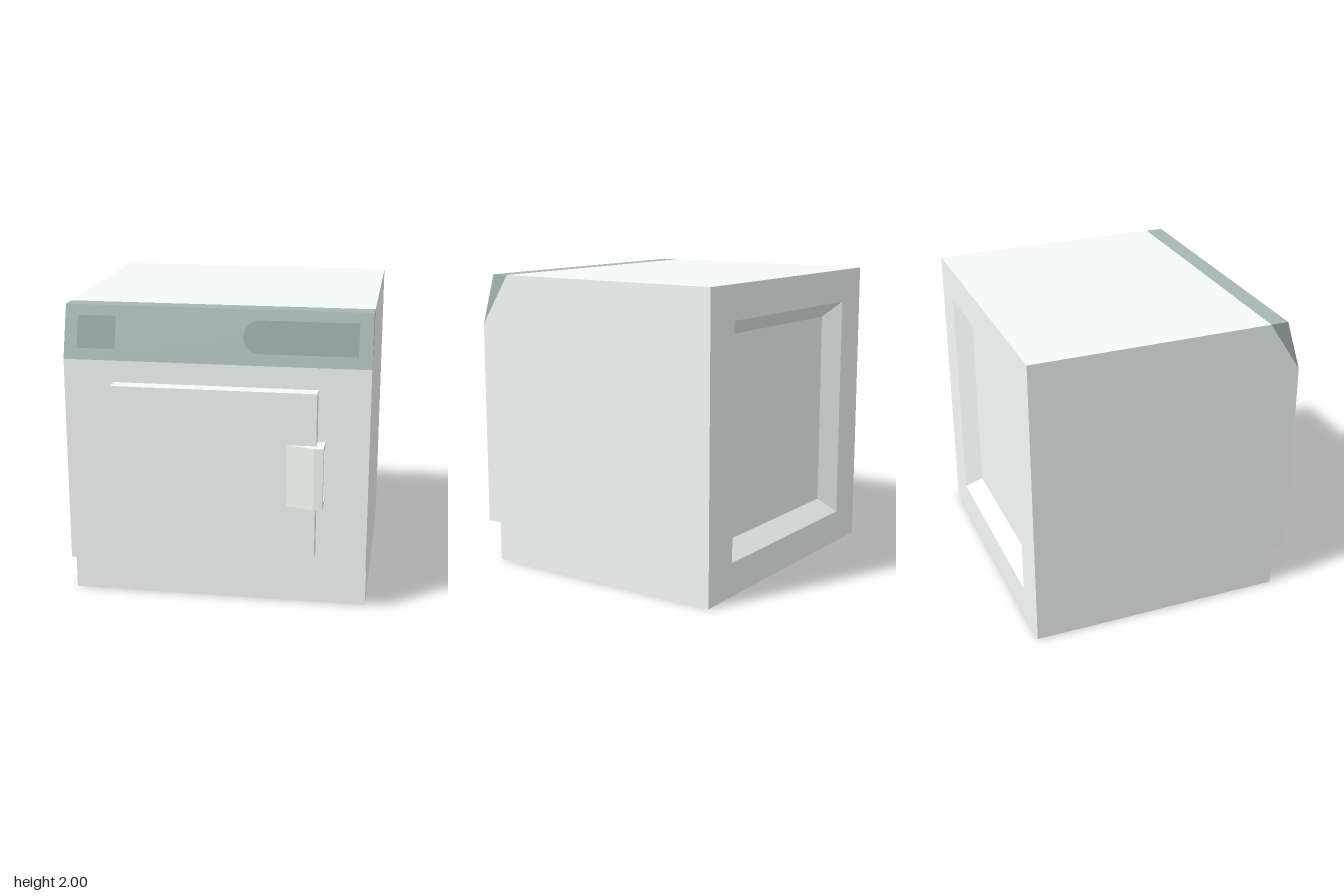
import * as THREE from 'three';

const material = (color) => new THREE.MeshStandardMaterial({ color, flatShading: true });
const cabinetColor = material(0xf5f9f7);
const handleColor = material(0xf7fbf3);
const panelColor = material(0xa7b6b6);
const markColor = material(0x93a4a4);

function addMesh(parent, name, geometry, mat) {
  const mesh = new THREE.Mesh(geometry, mat);
  mesh.name = name;
  parent.add(mesh);
  return mesh;
}

// Box given by its limits on each axis
function boxBetween(x0, x1, y0, y1, z0, z1) {
  return new THREE.BoxGeometry(x1 - x0, y1 - y0, z1 - z0)
    .translate((x0 + x1) / 2, (y0 + y1) / 2, (z0 + z1) / 2);
}

const shapeFrom = (points) => new THREE.Shape(points.map(([x, y]) => new THREE.Vector2(x, y)));

// Cabinet shell: side profile swept across x, with a tapered recess in the back
function cabinetGeometry() {
  const pos = [];
  const tri = (a, b, c) => pos.push(...a, ...b, ...c);
  const quad = (a, b, c, d) => { tri(a, b, c); tri(a, c, d); };

  // Profile as [z, y], from the back bottom edge round to the back top edge
  const profile = [[-1, 0], [0.737, 0], [0.737, 0.265], [0.843, 0.265], [0.843, 1.656], [0.62, 2], [-1, 2]];
  const at = (x, [z, y]) => [x, y, z];
  for (let i = 0; i < profile.length - 1; i++) {
    const p = profile[i], q = profile[i + 1];
    quad(at(-1, p), at(1, p), at(1, q), at(-1, q));
  }

  // Two side walls
  const outline = profile.map(([z, y]) => new THREE.Vector2(z, y));
  for (const [a, b, c] of THREE.ShapeUtils.triangulateShape(outline, [])) {
    tri(at(-1, profile[a]), at(-1, profile[b]), at(-1, profile[c]));
    tri(at(1, profile[c]), at(1, profile[b]), at(1, profile[a]));
  }

  // Back rim, sloping recess walls and recess floor
  const ring = (w, h, z) => [[w, 1 - h, z], [-w, 1 - h, z], [-w, 1 + h, z], [w, 1 + h, z]];
  const rings = [ring(1, 1, -1), ring(0.727, 0.774, -1), ring(0.623, 0.67, -0.896)];
  for (let r = 0; r < 2; r++) {
    for (let i = 0; i < 4; i++) {
      const j = (i + 1) % 4;
      quad(rings[r][i], rings[r][j], rings[r + 1][j], rings[r + 1][i]);
    }
  }
  quad(...rings[2]);

  const geometry = new THREE.BufferGeometry();
  geometry.setAttribute('position', new THREE.Float32BufferAttribute(pos, 3));
  geometry.computeVertexNormals();
  return geometry;
}

function createControlPanel() {
  const group = new THREE.Group();
  group.name = 'controlPanel';

  // Wedge along the top front edge
  const wedge = new THREE.ExtrudeGeometry(
    shapeFrom([[-0.843, 1.656], [-0.62, 2], [-0.74, 2]]), { depth: 2, bevelEnabled: false });
  wedge.rotateY(Math.PI / 2).translate(-1, 0, 0);
  addMesh(group, 'panelWedge', wedge, panelColor);

  // Flat markings lying on the sloping face
  const slope = Math.atan2(0.103, 0.344);
  const face = new THREE.Group();
  face.name = 'panelMarkings';
  face.position.set(0, 1.656, 0.843);
  face.rotation.x = -slope;
  group.add(face);
  const y0 = 0.072 / Math.cos(slope), y1 = 0.277 / Math.cos(slope), r = (y1 - y0) / 2;
  const square = shapeFrom([[-0.915, y0], [-0.663, y0], [-0.663, y1], [-0.915, y1]]);
  const display = new THREE.Shape();
  display.moveTo(0.175 + r, y0);
  display.lineTo(0.913, y0);
  display.lineTo(0.913, y1);
  display.lineTo(0.175 + r, y1);
  display.absarc(0.175 + r, y0 + r, r, Math.PI / 2, Math.PI * 1.5, false);
  for (const [name, shape] of [['squareMarking', square], ['roundedMarking', display]]) {
    addMesh(face, name, new THREE.ShapeGeometry(shape, 24), markColor).position.z = 0.0015;
  }
  return group;
}

function createHandle() {
  const group = new THREE.Group();
  group.name = 'handle';

  // Grip plate, ramping up out of the door front; drawn as [x, -z]
  const plate = new THREE.ExtrudeGeometry(
    shapeFrom([[0.48, -0.945], [0.66, -1], [0.718, -1], [0.718, -0.955], [0.66, -0.955], [0.66, -0.945]]),
    { depth: 0.413, bevelEnabled: false });
  plate.rotateX(-Math.PI / 2).translate(0, 0.758, 0);
  addMesh(group, 'handlePlate', plate, handleColor);

  // Brackets running back to the cabinet
  for (const y of [0.758, 1.136]) {
    addMesh(group, 'handleBracket', boxBetween(0.66, 0.718, y, y + 0.035, 0.843, 0.955), handleColor);
  }
  return group;
}

export function createModel() {
  const model = new THREE.Group();
  model.name = 'washingMachine';
  addMesh(model, 'cabinet', cabinetGeometry(), cabinetColor);
  model.add(createControlPanel());
  addMesh(model, 'door', boxBetween(-0.667, 0.667, 0.41, 1.513, 0.843, 0.945), cabinetColor);
  model.add(createHandle());
  return model;
}
